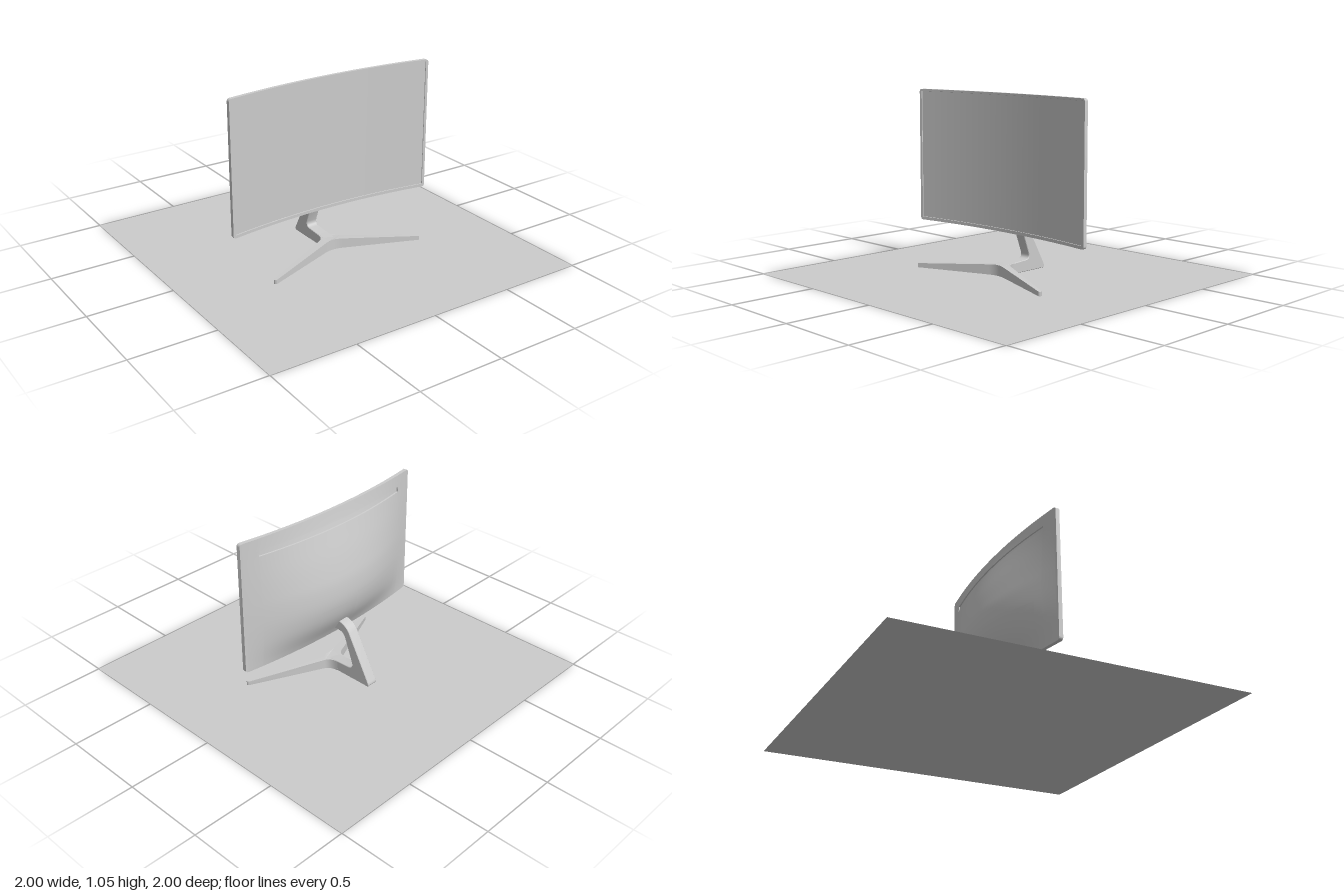
import * as THREE from 'three';
import { toCreasedNormals } from 'three/addons/utils/BufferGeometryUtils.js';

const W = 0.66, BOTTOM = 0.25, TOP = 1.047, R = 0.016, EPS = 0.001;
const grey = new THREE.MeshStandardMaterial({ color: 0xcccccc });
const greyThin = new THREE.MeshStandardMaterial({ color: 0xcccccc, side: THREE.DoubleSide });

function part(name, geometry, material = grey) {
  const mesh = new THREE.Mesh(geometry, material);
  mesh.name = name;
  return mesh;
}

// Crease at a larger scale so that small details keep their edges
function crease(geometry, angle = 0.5) {
  geometry.scale(20, 20, 20);
  return toCreasedNormals(geometry, angle).scale(0.05, 0.05, 0.05);
}

// Depth of the rear bulge on the centre line, as (height, depth)
const bulge = new THREE.SplineCurve([
  [0.25, 0], [0.28, 0.014], [0.375, 0.066], [0.45, 0.091], [0.53, 0.102], [0.625, 0.098],
  [0.7, 0.085], [0.8, 0.062], [0.92, 0.029], [0.98, 0.013], [1.047, 0],
].map(([y, d]) => new THREE.Vector2(y, d))).getPoints(80);

function bulgeAt(y) {
  const i = Math.max(1, bulge.findIndex((p) => p.x >= y - 1e-9));
  const a = bulge[i - 1], b = bulge[i];
  return a.y + (b.y - a.y) * THREE.MathUtils.clamp((y - a.x) / (b.x - a.x), 0, 1);
}

const frontZ = (x) => 0.028 + 0.058 * (x / W) ** 2;
const backZ = (x, y) =>
  0.009 + 0.053 * (x / W) ** 2 - bulgeAt(y) * Math.max(0, 1 - (x / W) ** 2) ** 1.3;

// Curved housing: vertical rings lofted from side to side
function housingGeometry() {
  const half = [0.549, 0.55, 0.645 - EPS, 0.645, 0.648, 0.652, 0.656, 0.659, W];
  for (let i = 1; i < 22; i++) half.push(i * 0.0247);
  half.sort((a, b) => a - b);
  const xs = [...half.map((x) => -x).reverse(), 0, ...half];

  const frontRows = [BOTTOM, 0.268, 0.268 + EPS, 1.035 - EPS, 1.035, TOP];
  const backRows = [0.945 - EPS, 0.945, 0.975, 0.975 + EPS];
  for (let i = 0; i <= 32; i++) backRows.push(BOTTOM + (TOP - BOTTOM) * i / 32);
  backRows.sort((a, b) => b - a);

  const pos = [], index = [];
  const n = frontRows.length + backRows.length;
  for (const x of xs) {
    const ax = Math.abs(x);
    const k = Math.max(0, (ax - (W - R)) / R);
    const cut = R * (1 - Math.sqrt(Math.max(0, 1 - k * k)));
    const clampY = (y) => THREE.MathUtils.clamp(y, BOTTOM + cut, TOP - cut);
    for (const y of frontRows) {
      const screen = ax < 0.6445 && y > 0.2685 && y < 1.0345;
      pos.push(x, clampY(y), frontZ(x) - (screen ? 0.004 : 0));
    }
    for (const y of backRows) {
      const slot = ax < 0.5495 && y > 0.9445 && y < 0.9755;
      pos.push(x, clampY(y), backZ(x, y) + (slot ? 0.008 : 0));
    }
  }
  for (let i = 0; i < xs.length - 1; i++) {
    for (let j = 0; j < n; j++) {
      const a = i * n + j, d = i * n + (j + 1) % n;
      index.push(a, a + n, d + n, a, d + n, d);
    }
  }
  const last = (xs.length - 1) * n;
  for (let j = 1; j < n - 1; j++) {
    index.push(0, j, j + 1, last, last + j + 1, last + j);
  }
  const g = new THREE.BufferGeometry();
  g.setAttribute('position', new THREE.Float32BufferAttribute(pos, 3));
  g.setIndex(index);
  return crease(g);
}

// Thin panel that follows the back of the housing
function backPanel(x0, x1, y0, y1, lift) {
  const g = new THREE.PlaneGeometry(x1 - x0, y1 - y0, 12, 10);
  g.rotateY(Math.PI).translate((x0 + x1) / 2, (y0 + y1) / 2, 0);
  const p = g.attributes.position;
  for (let i = 0; i < p.count; i++) p.setZ(i, backZ(p.getX(i), p.getY(i)) - lift);
  g.computeVertexNormals();
  return g;
}

// Bent neck and rear foot: side outline in (z, y), extruded across x
function neckGeometry() {
  const s = new THREE.Shape();
  s.moveTo(0.05, 0.001);
  s.lineTo(-0.265, 0.001);
  s.quadraticCurveTo(-0.287, 0.002, -0.275, 0.028);
  s.lineTo(-0.125, 0.3);
  s.quadraticCurveTo(-0.098, 0.345, -0.04, 0.353);
  s.lineTo(0, 0.34);
  s.lineTo(0, 0.29);
  s.lineTo(-0.045, 0.29);
  s.quadraticCurveTo(-0.078, 0.288, -0.09, 0.26);
  s.lineTo(-0.148, 0.105);
  s.quadraticCurveTo(-0.156, 0.074, -0.125, 0.07);
  s.lineTo(0.0, 0.063);
  s.lineTo(0.05, 0.06);
  const g = new THREE.ExtrudeGeometry(s, {
    depth: 0.062, curveSegments: 8, bevelThickness: 0.003, bevelSize: 0.003,
    bevelOffset: -0.003, bevelSegments: 1,
  });
  g.translate(0, 0, -0.031).rotateY(-Math.PI / 2);
  return crease(g);
}

// V-shaped feet: plan outline in (x, -z), height falling towards the tips
function feetGeometry() {
  const s = new THREE.Shape();
  s.moveTo(-0.495, -0.254);
  s.lineTo(-0.06, -0.087);
  s.quadraticCurveTo(-0.03, -0.076, 0, -0.076);
  s.quadraticCurveTo(0.03, -0.076, 0.06, -0.087);
  s.lineTo(0.495, -0.254);
  s.quadraticCurveTo(0.512, -0.245, 0.498, -0.232);
  s.lineTo(0.07, -0.038);
  s.quadraticCurveTo(0.037, -0.02, 0.034, 0.03);
  s.lineTo(-0.034, 0.03);
  s.quadraticCurveTo(-0.037, -0.02, -0.07, -0.038);
  s.lineTo(-0.498, -0.232);
  s.quadraticCurveTo(-0.512, -0.245, -0.495, -0.254);
  const g = new THREE.ExtrudeGeometry(s, { depth: 1, bevelEnabled: false, curveSegments: 6 });
  g.rotateX(-Math.PI / 2);
  const p = g.attributes.position;
  for (let i = 0; i < p.count; i++) {
    const h = 0.064 - 0.08 * Math.max(0, Math.abs(p.getX(i)) - 0.02);
    p.setY(i, p.getY(i) > 0.5 ? h : 0.001);
  }
  return crease(g);
}

export function createModel() {
  const model = new THREE.Group();
  model.name = 'curvedMonitor';

  const display = new THREE.Group();
  display.name = 'display';
  display.add(
    part('housing', housingGeometry()),
    part('rearCover', backPanel(-0.5, -0.07, 0.31, 0.53, 0.002), greyThin),
    part('hingeCover', backPanel(0.01, 0.2, 0.31, 0.49, 0.002), greyThin),
    part('portPanel', backPanel(-0.21, -0.09, 0.32, 0.4, 0.004), greyThin),
  );

  const stand = new THREE.Group();
  stand.name = 'stand';
  stand.add(part('neck', neckGeometry()), part('feet', feetGeometry()));

  display.position.x = stand.position.x = -0.007;
  model.add(display, stand);

  // Flat square the stand rests on
  const desk = part('deskSurface', new THREE.PlaneGeometry(2, 2), greyThin);
  desk.rotation.x = -Math.PI / 2;
  model.add(desk);
  return model;
}
